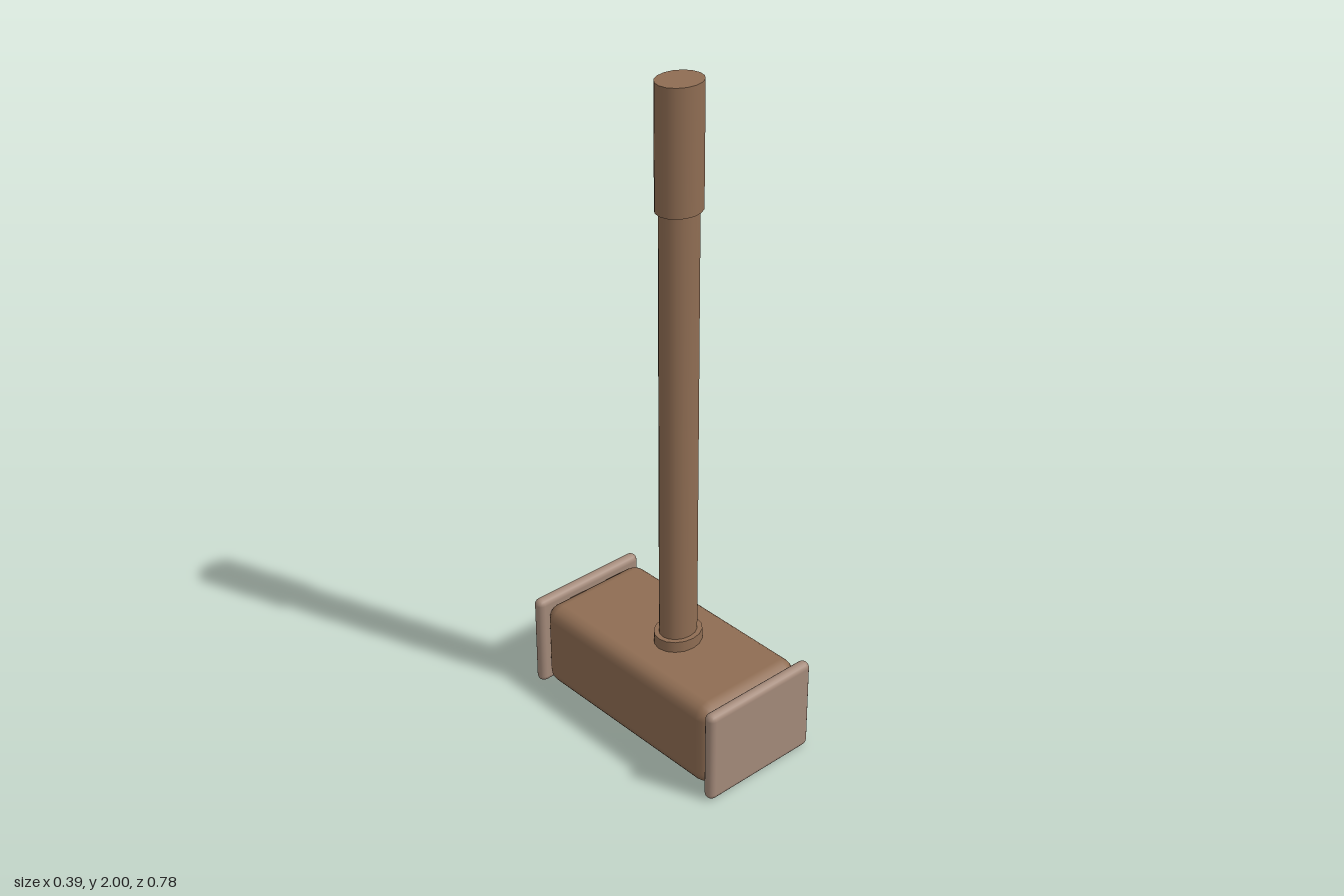
import * as THREE from 'three';
import { RoundedBoxGeometry } from 'three/addons/geometries/RoundedBoxGeometry.js';

export function createModel() {
  const group = new THREE.Group();
  const wood = new THREE.MeshStandardMaterial({ color: 0x8f6d53 });
  wood.name = 'brown wood';
  const pale = new THREE.MeshStandardMaterial({ color: 0xa48a7a });
  pale.name = 'pale wood';

  const add = (name, geometry, material, x, y, z) => {
    const mesh = new THREE.Mesh(geometry, material);
    mesh.name = name;
    mesh.position.set(x, y, z);
    group.add(mesh);
  };

  // Upright oval cylinder on the handle axis, between two heights
  const oval = (name, rx, rz, y0, y1, sides) => {
    const geometry = new THREE.CylinderGeometry(1, 1, y1 - y0, sides);
    geometry.scale(rx, 1, rz);
    add(name, geometry, wood, 0, (y0 + y1) / 2, 0.038);
  };

  // Head block with softened edges
  add('head', new RoundedBoxGeometry(0.366, 0.273, 0.705, 2, 0.044), wood, 0, 0.149, -0.001);

  // Striking plates at both ends
  for (const [name, z] of [['frontPlate', 0.369], ['backPlate', -0.371]]) {
    add(name, new RoundedBoxGeometry(0.39, 0.295, 0.038, 2, 0.0188), pale, 0, 0.1475, z);
  }

  // Handle: collar, shaft and thicker grip
  oval('collar', 0.075, 0.065, 0.27, 0.32, 16);
  oval('shaft', 0.06, 0.05, 0.27, 1.66, 16);
  oval('grip', 0.07, 0.06, 1.645, 2, 16);

  return group;
}
